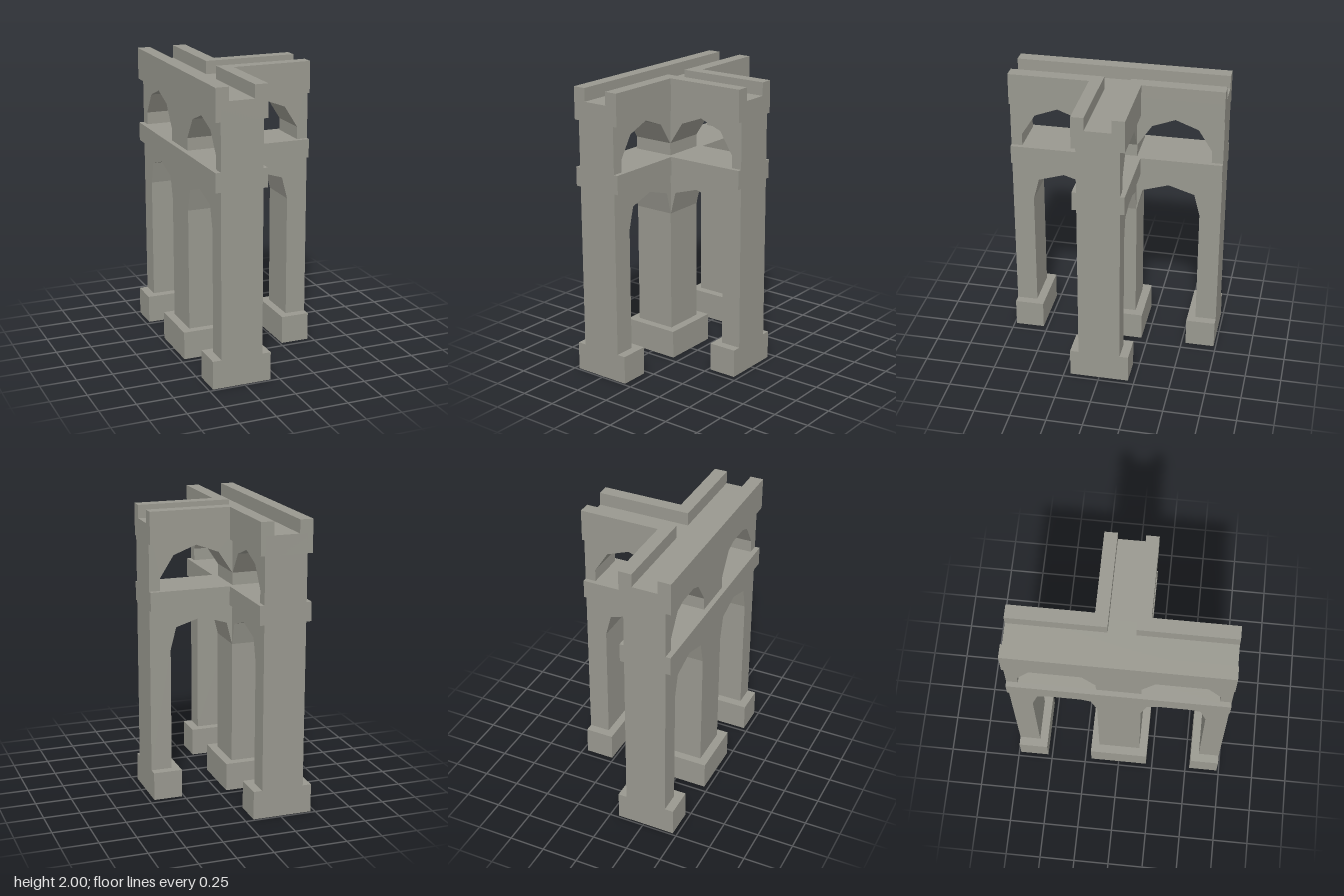
import * as THREE from 'three';

export function createModel() {
  const model = new THREE.Group();
  model.name = 'aqueductJunction';
  const stone = new THREE.MeshStandardMaterial({ color: 0x99988f, side: THREE.DoubleSide });
  stone.name = 'stone';

  const END_Z = 0.735, END_X = 0.465;

  function add(name, geometry) {
    const mesh = new THREE.Mesh(geometry, stone);
    mesh.name = name;
    model.add(mesh);
    return mesh;
  }

  // box given by its limits; an open one has no underside
  function block(name, x0, x1, y0, y1, z0, z1, open = false) {
    const g = new THREE.BoxGeometry(x1 - x0, y1 - y0, z1 - z0);
    g.translate((x0 + x1) / 2, (y0 + y1) / 2, (z0 + z1) / 2);
    if (open) {
      const index = Array.from(g.index.array);
      index.splice(18, 6);
      g.clearGroups();
      g.setIndex(index);
    }
    return add(name, g);
  }

  // faceted arch outlines, measured from the inner jamb
  const lowerArch = [[0, 0.2], [0, 1.045], [0.04, 1.2], [0.22, 1.256], [0.4, 1.2], [0.44, 1.045], [0.44, 0.2]];
  const upperArch = [[0, 1.46], [0, 1.545], [0.1, 1.695], [0.257, 1.755], [0.415, 1.695], [0.51, 1.545], [0.51, 1.46]];
  const place = (points, start, side) => points.map(([u, y]) => new THREE.Vector2(start + side * u, y));

  // wall with lower openings cut from its foot and upper openings as holes
  function wall(name, u0, u1, arches, depth) {
    const outline = [new THREE.Vector2(u0, 1.91), new THREE.Vector2(u0, 0.2)];
    for (const [start, side] of arches) {
      const arch = place(lowerArch, start, side);
      outline.push(...(side < 0 ? arch.reverse() : arch));
    }
    outline.push(new THREE.Vector2(u1, 0.2), new THREE.Vector2(u1, 1.91));
    const shape = new THREE.Shape(outline);
    for (const [start, side] of arches) shape.holes.push(new THREE.Path(place(upperArch, start, side)));
    return add(name, new THREE.ExtrudeGeometry(shape, { depth, bevelEnabled: false }));
  }

  // main wall along z
  const main = wall('mainWall', -END_Z, END_Z, [[-0.148, -1], [0.148, 1]], 0.29);
  main.rotation.y = -Math.PI / 2;
  main.position.x = -0.12;

  // branch wall along x
  wall('branchWall', -0.2, END_X, [[-0.12, 1]], 0.29).position.z = -0.145;

  // projecting bands: the gallery floor and the water channel bed
  for (const [name, y0, y1] of [['galleryBand', 1.33, 1.46], ['channelBed', 1.78, 1.91]]) {
    block(name + 'Main', -0.445, -0.09, y0, y1, -END_Z, END_Z);
    block(name + 'Branch', -0.09, END_X, y0, y1, -0.176, 0.176);
  }

  // channel parapets
  block('parapetBack', -0.445, -0.355, 1.91, 2, -END_Z, END_Z);
  for (const s of [-1, 1]) {
    const span = (a, b) => (s > 0 ? [a, b] : [-b, -a]);
    block('parapetMain', -0.18, -0.09, 1.91, 2, ...span(0.09, END_Z));
    block('parapetBranch', -0.09, END_X, 1.91, 2, ...span(0.09, 0.176));
    // end pier plinths with the hollow pier foot inside
    block('endPlinth', -0.47, -0.06, 0, 0.196, ...span(0.53, END_Z), true);
    block('endPierFoot', -0.41, -0.12, 0, 0.2, ...span(0.59, END_Z), true);
  }

  // centre and branch plinths
  block('centrePlinth', -0.47, -0.06, 0, 0.196, -0.205, 0.205, true);
  block('centrePierFoot', -0.41, -0.12, 0, 0.2, -0.148, 0.148, true);
  block('branchPlinth', 0.265, END_X, 0, 0.196, -0.205, 0.205, true);
  block('branchPierFoot', 0.32, END_X, 0, 0.2, -0.145, 0.145, true);

  return model;
}
